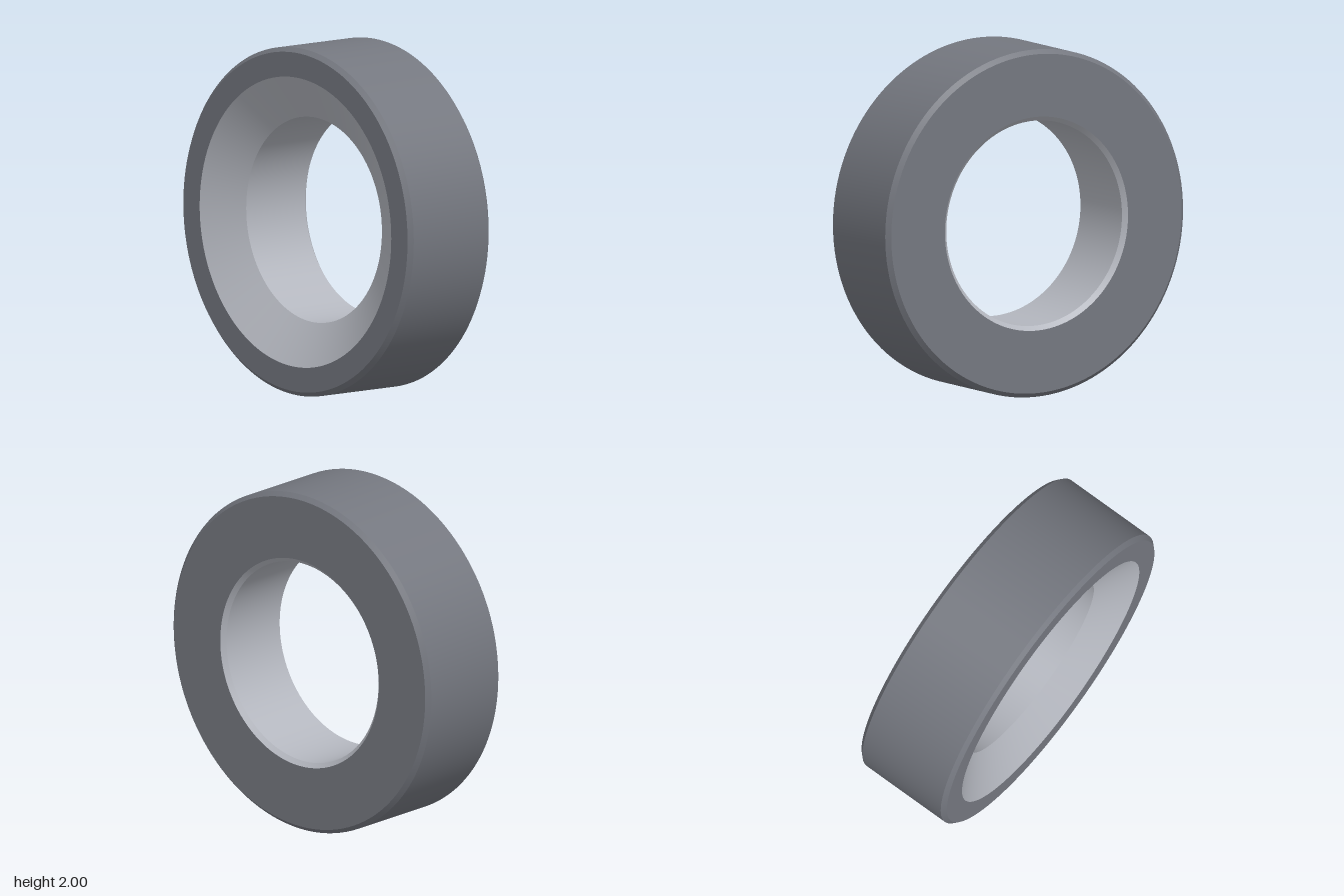
import * as THREE from 'three';
import { toCreasedNormals } from 'three/addons/utils/BufferGeometryUtils.js';

const R = 1, bore = 0.59, half = 0.305, chamfer = 0.025;
const sinkRadius = 0.833, sinkDepth = 0.14;

// Revolve (radius, axial position) points, keep the edges crisp, lay the axis along x
function revolve(name, points, color) {
  const profile = points.map(([r, a]) => new THREE.Vector2(r, a));
  const geometry = toCreasedNormals(new THREE.LatheGeometry(profile, 128), 0.3);
  geometry.rotateZ(-Math.PI / 2);
  geometry.translate(0, R, 0);
  const mesh = new THREE.Mesh(geometry, new THREE.MeshStandardMaterial({ color }));
  mesh.name = name;
  return mesh;
}

export function createModel() {
  const group = new THREE.Group();
  group.name = 'bushingRing';

  // Dark outer body: narrow face, chamfered rim, wide face
  group.add(revolve('outerBody', [
    [sinkRadius, -half],
    [R - chamfer, -half],
    [R, -half + chamfer],
    [R, half - chamfer],
    [R - chamfer, half],
    [bore + chamfer, half],
  ], 0x74777f));

  // Lighter machined inside: bore chamfer, bore, countersink
  group.add(revolve('innerBore', [
    [bore + chamfer, half],
    [bore, half - chamfer],
    [bore, -half + sinkDepth],
    [sinkRadius, -half],
  ], 0xb3b6be));

  return group;
}
